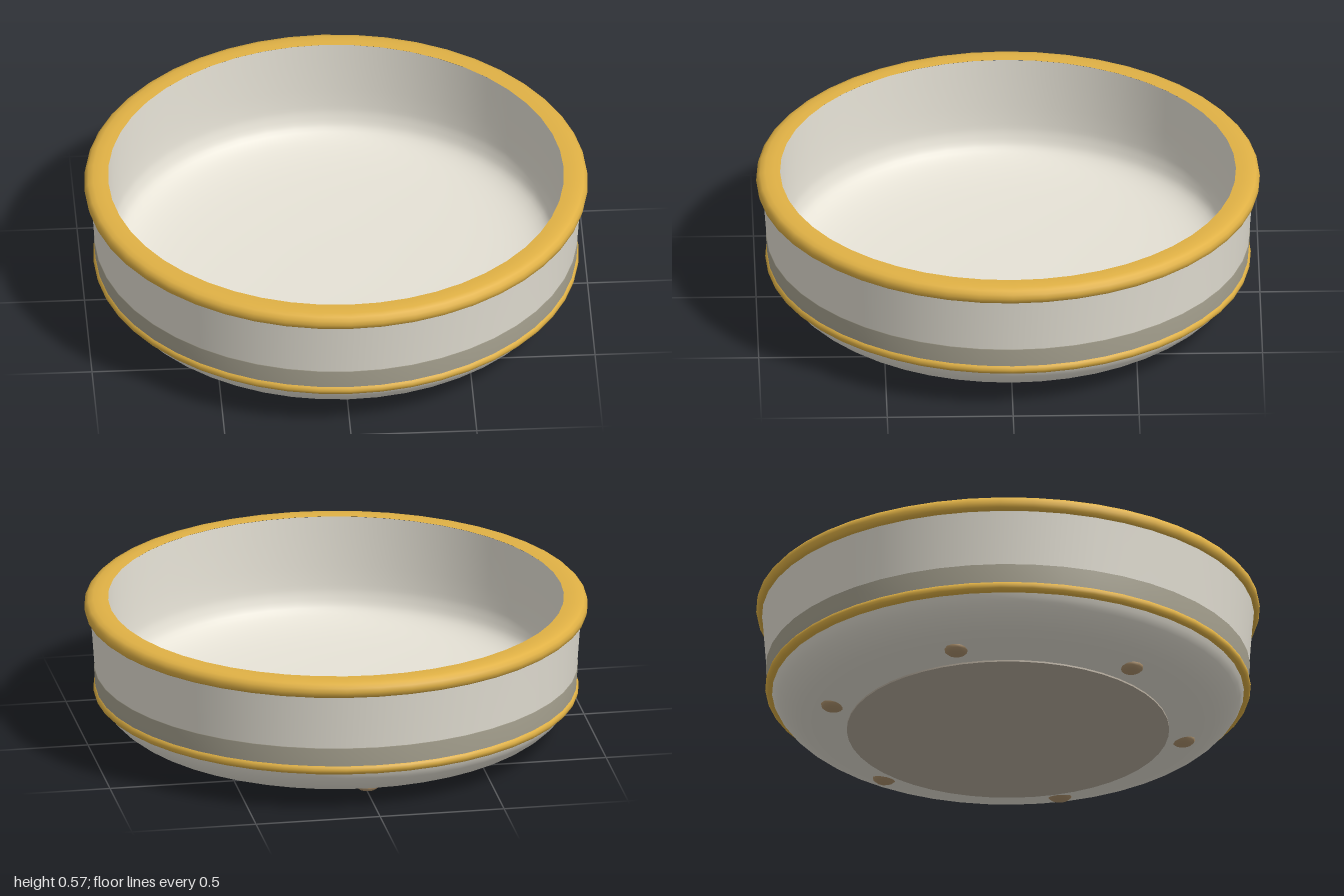
import * as THREE from 'three';

const SEGMENTS = 48;

export function createModel() {
  const dish = new THREE.Group();
  dish.name = 'dish';

  const paint = (name, color) => {
    const m = new THREE.MeshStandardMaterial({ color });
    m.name = name;
    return m;
  };
  const cream = paint('cream glaze', 0xe6e2d6);
  const shade = paint('band glaze', 0xa8a391);
  const gold = paint('gold trim', 0xe0b145);
  const clay = paint('bare clay base', 0xb8ae9f);
  const brown = paint('brown feet', 0xb0946f);

  const add = (name, geometry, material) => {
    const mesh = new THREE.Mesh(geometry, material);
    mesh.name = name;
    dish.add(mesh);
    return mesh;
  };
  const lathe = (points) =>
    new THREE.LatheGeometry(points.map(([r, y]) => new THREE.Vector2(r, y)), SEGMENTS);
  // Rounds a few profile points into a smooth curve
  const smooth = (points, count) =>
    new THREE.SplineCurve(points.map(([r, y]) => new THREE.Vector2(r, y)))
      .getPoints(count).map((p) => [p.x, p.y]);

  // Outer shell: rounded underside running into a gently flared wall
  add('outerShell', lathe([
    ...smooth([
      [0.64, 0.007], [0.72, 0.025], [0.82, 0.054], [0.88, 0.09], [0.92, 0.132], [0.94, 0.172],
    ], 16),
    [0.953, 0.2], [0.975, 0.5], [0.99, 0.525],
  ]), cream);

  // Painted band, a thin skin over the foot of the wall
  add('wallBand', lathe([[0.955, 0.19], [0.9615, 0.277], [0.957, 0.279]]), shade);

  // Inside: wall rounding into a shallow bowl floor
  add('inside', lathe(smooth([
    [0.906, 0.563], [0.902, 0.42], [0.896, 0.3], [0.886, 0.235], [0.855, 0.18],
    [0.77, 0.143], [0.6, 0.121], [0.3, 0.108], [0, 0.105],
  ], 32)), cream);

  // Rim: nearly flat top with a rounded outer edge
  add('rim', lathe([
    [0.966, 0.504], [0.985, 0.502], [0.996, 0.511], [1, 0.528], [0.997, 0.545],
    [0.985, 0.558], [0.965, 0.564], [0.935, 0.566], [0.905, 0.564],
  ]), gold);

  // Ring where the wall meets the underside
  const ring = new THREE.TorusGeometry(0.942, 0.022, 12, SEGMENTS);
  ring.rotateX(Math.PI / 2);
  add('lowerRing', ring, gold).position.y = 0.185;

  // Base disc and six feet sunk into the underside
  add('baseDisc', new THREE.CylinderGeometry(0.64, 0.64, 0.008, SEGMENTS), clay).position.y = 0.004;
  for (let i = 0; i < 6; i++) {
    const a = Math.PI / 6 + (i * Math.PI) / 3;
    const foot = add('foot', new THREE.SphereGeometry(0.05, 12, 8), brown);
    foot.scale.y = 0.54;
    foot.position.set(Math.cos(a) * 0.712, 0.033, Math.sin(a) * 0.712);
  }
  return dish;
}
